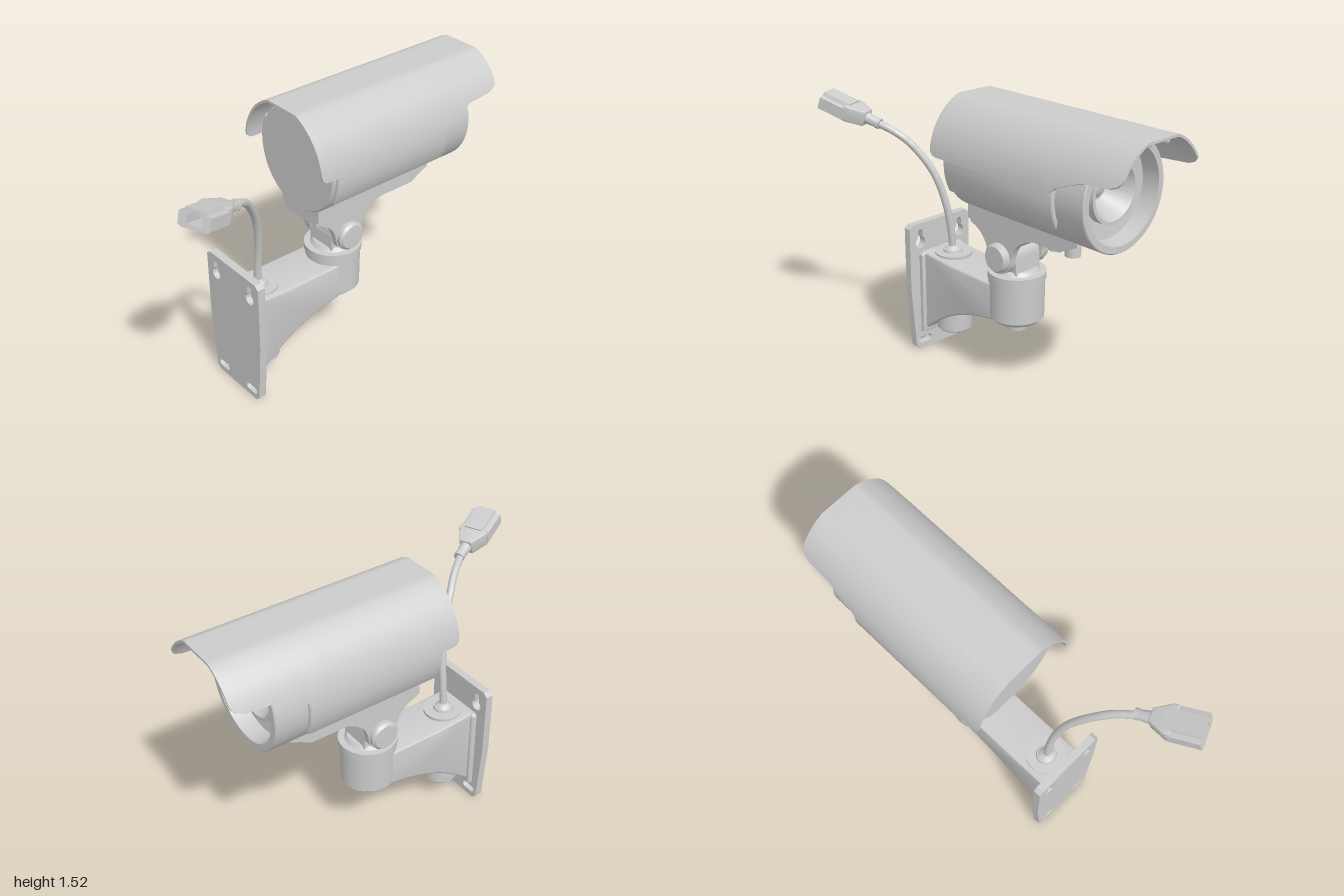
import * as THREE from 'three';
import { toCreasedNormals } from 'three/addons/utils/BufferGeometryUtils.js';

const CX = -0.077;      // vertical centre plane of camera and bracket
const BODY_Y = 1.217;   // axis height of the housing
const HINGE_Z = -0.115; // swivel and tilt axis

export function createModel() {
  const model = new THREE.Group();
  const material = new THREE.MeshStandardMaterial({ color: 0xcccccc });

  function add(name, geometry, x = 0, y = 0, z = 0, parent = model) {
    const mesh = new THREE.Mesh(toCreasedNormals(geometry, 0.55), material);
    mesh.name = name;
    mesh.position.set(x, y, z);
    parent.add(mesh);
    return mesh;
  }
  const box = (w, h, d) => new THREE.BoxGeometry(w, h, d);
  // upright cylinder between two heights
  const post = (name, r0, r1, y0, y1, z, x = CX) =>
    add(name, new THREE.CylinderGeometry(r1, r0, y1 - y0, 40), x, (y0 + y1) / 2, z);
  const polygon = (pts) => new THREE.Shape(pts.map((p) => new THREE.Vector2(...p)));
  const extrude = (shape, depth, bevel = 0) =>
    new THREE.ExtrudeGeometry(shape, {
      depth: depth - 2 * bevel, curveSegments: 16, bevelEnabled: bevel > 0,
      bevelSize: bevel, bevelThickness: bevel, bevelOffset: -bevel, bevelSegments: 3,
    }).translate(0, 0, bevel - depth / 2);
  // side profile drawn in (z, y), extruded across x
  const sideExtrude = (shape, width, bevel) => extrude(shape, width, bevel).rotateY(-Math.PI / 2);

  // Wall plate with slots and keyholes
  const plate = polygon([[-0.19, 0.755], [-0.213, 0.735], [-0.213, 0.38], [-0.185, 0.025],
    [-0.16, 0], [0.16, 0], [0.185, 0.025], [0.213, 0.38], [0.213, 0.735], [0.19, 0.755]]);
  for (const s of [-1, 1]) {
    const slot = new THREE.Path();
    slot.absarc(s * 0.122 + 0.025, 0.052, 0.02, -Math.PI / 2, Math.PI / 2);
    slot.absarc(s * 0.122 - 0.025, 0.052, 0.02, Math.PI / 2, Math.PI * 1.5);
    slot.closePath();
    const key = new THREE.Path();
    key.absarc(s * 0.14, 0.705, 0.016, 0, Math.PI);
    key.absarc(s * 0.14, 0.645, 0.032, Math.PI * 0.67, Math.PI * 2.33);
    key.closePath();
    plate.holes.push(slot, key);
  }
  add('wallPlate', extrude(plate, 0.042), CX, 0, 0.515);

  // Bracket arm, swept from the plate to the swivel knuckle
  const arm = new THREE.Shape();
  arm.moveTo(0.495, 0.11);
  arm.bezierCurveTo(0.37, 0.21, 0.24, 0.33, -0.06, 0.37);
  arm.lineTo(HINGE_Z, 0.385);
  arm.lineTo(HINGE_Z, 0.572);
  arm.lineTo(0.27, 0.575);
  arm.lineTo(0.495, 0.59);
  arm.closePath();
  add('bracketArm', sideExtrude(arm, 0.262, 0.012), CX);
  const flange = polygon([[-0.15, 0.11], [0.15, 0.11], [0.15, 0.575], [0.135, 0.59], [-0.135, 0.59], [-0.15, 0.575]]);
  add('armFlange', extrude(flange, 0.035, 0.01), CX, 0, 0.483);
  post('cablePost', 0.097, 0.103, 0.14, 0.592, 0.38);
  post('cablePostCap', 0.09, 0.097, 0.132, 0.14, 0.38);
  post('cableGrommet', 0.055, 0.05, 0.59, 0.606, 0.385);
  post('cableGrommetNeck', 0.045, 0.022, 0.606, 0.625, 0.385);

  // Swivel knuckle
  post('knuckle', 0.145, 0.147, 0.385, 0.6, HINGE_Z);
  post('knuckleBase', 0.125, 0.145, 0.365, 0.385, HINGE_Z);
  post('swivelBolt', 0.054, 0.058, 0.308, 0.366, HINGE_Z);
  post('swivelDisc', 0.153, 0.153, 0.602, 0.64, HINGE_Z);
  post('swivelCollar', 0.12, 0.105, 0.64, 0.66, HINGE_Z);

  // Tilt hinge: tongue below, fork arms above
  const tongue = new THREE.Shape();
  tongue.moveTo(HINGE_Z - 0.082, 0.64);
  tongue.lineTo(HINGE_Z + 0.082, 0.64);
  tongue.lineTo(HINGE_Z + 0.078, 0.735);
  tongue.absarc(HINGE_Z, 0.735, 0.075, 0, Math.PI);
  tongue.closePath();
  add('hingeTongue', sideExtrude(tongue, 0.17), CX);

  const fork = new THREE.Shape();
  fork.moveTo(-0.334, 0.905);
  fork.lineTo(-0.334, 0.885);
  fork.quadraticCurveTo(-0.21, 0.85, HINGE_Z - 0.082, 0.735);
  fork.absarc(HINGE_Z, 0.735, 0.082, Math.PI, Math.PI * 2);
  fork.quadraticCurveTo(-0.01, 0.85, 0.1, 0.876);
  fork.lineTo(0.1, 0.905);
  fork.closePath();
  const saddle = new THREE.Shape();
  saddle.moveTo(-0.334, 0.905);
  saddle.lineTo(-0.334, 0.885);
  saddle.quadraticCurveTo(-0.26, 0.865, -0.225, 0.82);
  saddle.lineTo(-0.005, 0.82);
  saddle.quadraticCurveTo(0.03, 0.86, 0.1, 0.876);
  saddle.lineTo(0.1, 0.905);
  saddle.closePath();
  add('neckSaddle', sideExtrude(saddle, 0.2), CX);
  for (const s of [-1, 1]) {
    add('forkArm', sideExtrude(fork, 0.037), CX + s * 0.1085);
    const cap = new THREE.LatheGeometry([[0, -0.02], [0.078, -0.02], [0.078, 0.022],
      [0.066, 0.036], [0, 0.038]].map((p) => new THREE.Vector2(...p)), 32);
    add('hingeCap', cap.rotateZ(-s * Math.PI / 2), CX + s * 0.127, 0.74, HINGE_Z);
  }

  // Mounting platform and the two knobs beneath it
  add('mountPlatform', sideExtrude(polygon([[0.1, 1.02], [-0.64, 1.02], [-0.65, 0.955],
    [-0.6, 0.935], [-0.54, 0.9], [0.1, 0.9]]), 0.286), CX);
  for (const z of [-0.385, -0.497]) post('knob', 0.04, 0.04, 0.832, 0.92, z);

  // Housing with recessed front and lens funnel, as one turned profile
  const profile = [[0, 0], [0.272, 0], [0.28, 0.01], [0.28, 0.915], [0.275, 0.92], [0.243, 0.92],
    [0.235, 0.83], [0.155, 0.82], [0.155, 0.865], [0.138, 0.865], [0.065, 0.75], [0.055, 0.75],
    [0.04, 0.764], [0.02, 0.772], [0, 0.774]];
  const housing = new THREE.LatheGeometry(profile.map((p) => new THREE.Vector2(...p)), 64);
  add('housing', housing.rotateX(-Math.PI / 2), CX, BODY_Y, 0.12);

  // Raised side panels that carry the sunshield
  for (const s of [-1, 1]) {
    const panel = new THREE.Shape();
    const mid = s > 0 ? 0 : Math.PI;
    panel.moveTo(s * 0.2, -s * 0.14);
    panel.absarc(0, 0, 0.3, mid - 0.5, mid + 0.5);
    panel.lineTo(s * 0.2, s * 0.14);
    panel.closePath();
    add('sidePanel', extrude(panel, 0.735, 0.008), CX, BODY_Y, -0.2625);
  }

  // Sunshield: clipped ellipse whose lower edge follows the (z, y) stations
  const stations = [[0.205, 1.285], [0.2, 1.26], [0.185, 1.245], [0.16, 1.24], [-0.55, 1.24],
    [-0.607, 1.247], [-0.65, 1.283], [-0.72, 1.312], [-0.794, 1.337], [-0.938, 1.348],
    [-0.976, 1.364], [-0.99, 1.378], [-0.997, 1.395]];
  const N = 48, L = 2 * (N + 1), t = 0.012, pos = [], index = [];
  stations.forEach(([z, edge], k) => {
    const a = Math.asin((edge - 1.225) / 0.32);
    for (let j = 0; j < L; j++) {
      const inner = j > N, i = inner ? L - 1 - j : j, d = inner ? t : 0;
      const angle = a + (Math.PI - 2 * a) * i / N;
      pos.push((0.303 - d) * Math.cos(angle),
        Math.min(1.225 + (0.32 - d) * Math.sin(angle), 1.525 - d), z);
      if (k > 0) {
        const A = (k - 1) * L + j, B = (k - 1) * L + (j + 1) % L;
        index.push(A, A + L, B, B, A + L, B + L);
      }
    }
  });
  const last = (stations.length - 1) * L;
  for (let i = 0; i < N; i++) {
    const o = i, p = i + 1, q = L - 2 - i, r = L - 1 - i;
    index.push(o, p, q, o, q, r);
    index.push(last + o, last + q, last + p, last + o, last + r, last + q);
  }
  const shield = new THREE.BufferGeometry();
  shield.setAttribute('position', new THREE.Float32BufferAttribute(pos, 3));
  shield.setIndex(index);
  add('sunshield', shield, CX);
  for (const s of [-1, 1]) add('shieldRail', box(0.018, 0.022, 1.17), CX + s * 0.053, 1.504, -0.395);

  // Cable rising from the arm
  const base = new THREE.Vector3(0.18, 1.3, 0.665), tip = new THREE.Vector3(0.302, 1.405, 0.955);
  const path = new THREE.CatmullRomCurve3([[-0.077, 0.58, 0.385], [-0.065, 0.72, 0.386], [-0.04, 0.87, 0.395],
    [0.003, 1.04, 0.435], [0.07, 1.185, 0.52], [0.125, 1.255, 0.59], [0.19, 1.309, 0.69]]
    .map((p) => new THREE.Vector3(...p)));
  add('cable', new THREE.TubeGeometry(path, 48, 0.02, 14));

  // Plug at the cable end, built along its own +z
  const plug = new THREE.Group();
  plug.name = 'plug';
  plug.position.copy(base);
  plug.lookAt(tip);
  model.add(plug);
  const length = base.distanceTo(tip);
  const relief = (r0, r1, z0, z1) => add('strainRelief',
    new THREE.CylinderGeometry(r1, r0, z1 - z0, 20).rotateX(Math.PI / 2), 0, 0, (z0 + z1) / 2, plug);
  relief(0.029, 0.029, -0.005, 0.015);
  relief(0.025, 0.033, 0.015, 0.085);
  const shoulder = polygon([[-0.034, -0.075], [0.034, -0.075], [0.078, -0.16], [0.078, -0.19], [-0.078, -0.19], [-0.078, -0.16]]);
  add('plugShoulder', extrude(shoulder, 0.084, 0.008).rotateX(-Math.PI / 2), 0, 0, 0, plug);
  const rim = polygon([[-0.08, -0.035], [-0.062, -0.046], [0.062, -0.046], [0.08, -0.035],
    [0.08, 0.025], [0.055, 0.03], [0.048, 0.048], [-0.048, 0.048], [-0.055, 0.03], [-0.08, 0.025]]);
  rim.holes.push(new THREE.Path([[-0.04, -0.028], [-0.04, 0.018], [-0.018, 0.018], [-0.018, 0.034],
    [0.018, 0.034], [0.018, 0.018], [0.04, 0.018], [0.04, -0.028]].map((p) => new THREE.Vector2(...p))));
  add('plugSocket', extrude(rim, length - 0.17), 0, 0, (length + 0.17) / 2, plug);

  return model;
}
